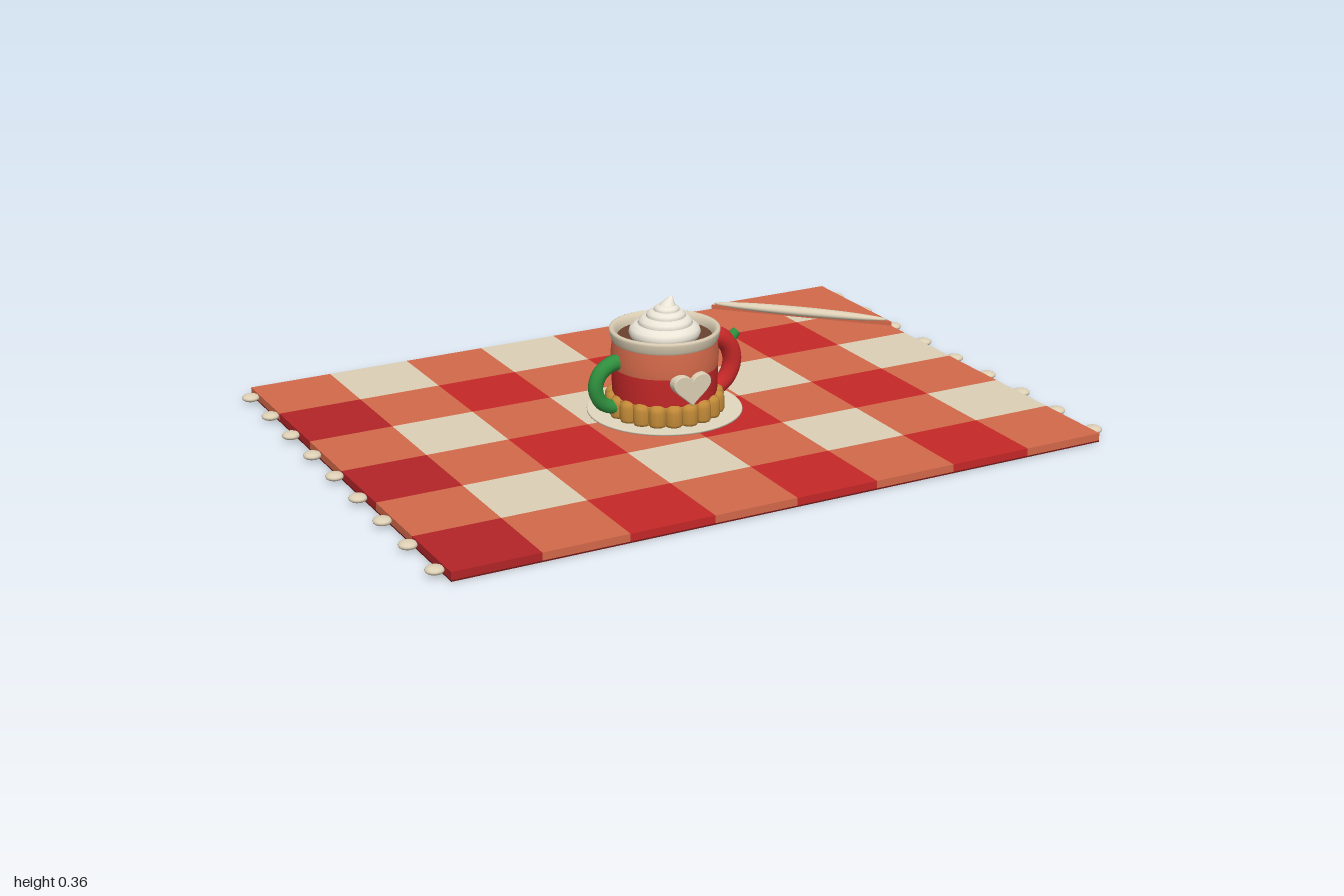
import * as THREE from 'three';

const mat = (c, o = {}) => new THREE.MeshStandardMaterial({ color: c, ...o });
const RED = mat(0xc62828), DEEP = mat(0xb22427), CORAL = mat(0xd3694a), CREAM = mat(0xdccfb5);
const BACK = mat(0x701818), CRUST = mat(0xc28a38), GREEN = mat(0x2f8f3e), COCOA = mat(0x6b4230);
const WHIP = mat(0xece6d8), SAUCER = mat(0xe2d8c0);

function add(parent, name, geo, material, x = 0, y = 0, z = 0) {
  const m = new THREE.Mesh(geo, material);
  m.name = name;
  m.position.set(x, y, z);
  parent.add(m);
  return m;
}

const lathe = (pts, seg = 40) =>
  new THREE.LatheGeometry(pts.map(p => new THREE.Vector2(p[0], p[1])), seg);

// Tube along a curve whose radius runs from r0 to r1
function taperedTube(points, r0, r1, seg = 28, sides = 12) {
  const curve = new THREE.CatmullRomCurve3(points.map(p => new THREE.Vector3(p[0], p[1], 0)));
  const geo = new THREE.TubeGeometry(curve, seg, 1, sides);
  const pos = geo.attributes.position, v = new THREE.Vector3();
  for (let i = 0; i < pos.count; i++) {
    const t = Math.floor(i / (sides + 1)) / seg;
    const c = curve.getPointAt(t);
    v.fromBufferAttribute(pos, i).sub(c).multiplyScalar(r0 + (r1 - r0) * t).add(c);
    pos.setXYZ(i, v.x, v.y, v.z);
  }
  return geo;
}

function makeBlanket() {
  const g = new THREE.Group();
  g.name = 'blanket';
  const W = 1.91, D = 1.43, cols = 8, rows = 6, w = W / cols, d = D / rows;
  add(g, 'backing', new THREE.BoxGeometry(W, 0.004, D), BACK, 0, 0.002, 0);
  // Gingham squares
  const tile = new THREE.BoxGeometry(w, 0.021, d);
  for (let r = 0; r < rows; r++) for (let c = 0; c < cols; c++) {
    const both = r % 2 === 1 && c % 2 === 0, none = r % 2 === 0 && c % 2 === 1;
    const m = both ? (c === 0 ? DEEP : RED) : none ? CREAM : CORAL;
    add(g, 'check', tile, m, -W / 2 + (c + 0.5) * w, 0.0145, -D / 2 + (r + 0.5) * d);
  }
  // Pompoms along both short edges
  const pom = new THREE.SphereGeometry(0.025, 14, 10).scale(1, 0.44, 1);
  for (const s of [-1, 1]) for (let i = -4; i <= 4; i++)
    add(g, 'pompom', pom, CREAM, s * 0.975, 0.015, i * 0.1655);
  // Folded corner: triangular flap and rolled crease
  const tri = new THREE.Shape([[0.55, 0.715], [0.955, 0.31], [0.955, 0.715]]
    .map(p => new THREE.Vector2(...p)));
  const flap = new THREE.ExtrudeGeometry(tri, { depth: 0.013, bevelEnabled: false });
  add(g, 'foldedCorner', flap.rotateX(-Math.PI / 2), CORAL, 0, 0.025, 0);
  const crease = add(g, 'foldCrease', new THREE.SphereGeometry(1, 28, 14), CREAM, 0.755, 0.041, -0.522);
  crease.scale.set(0.276, 0.014, 0.02);
  crease.rotation.y = -Math.PI / 4;
  return g;
}

function makeCup() {
  const g = new THREE.Group();
  g.name = 'cup';
  add(g, 'saucer', lathe([[0, 0.024], [0.18, 0.024], [0.217, 0.031], [0.215, 0.035],
    [0.195, 0.032], [0, 0.03]], 48), SAUCER);

  // Scalloped crust around the foot
  add(g, 'crustCore', new THREE.CylinderGeometry(0.15, 0.15, 0.054, 40), CRUST, 0, 0.058, 0);
  const rib = lathe([[0, 0], [0.022, 0], [0.025, 0.008], [0.025, 0.042], [0.02, 0.054],
    [0.01, 0.059], [0, 0.06]], 12);
  const ribs = 20;
  for (let i = 0; i < ribs; i++) {
    const a = i / ribs * Math.PI * 2;
    add(g, 'crustRib', rib, CRUST, Math.cos(a) * 0.142, 0.031, Math.sin(a) * 0.142);
  }

  // Banded body and flared rim
  add(g, 'lowerBand', lathe([[0.14, 0.06], [0.146, 0.09], [0.148, 0.165]]), RED);
  add(g, 'upperBand', lathe([[0.148, 0.165], [0.15, 0.195], [0.145, 0.238]]), CORAL);
  add(g, 'rim', lathe([[0.144, 0.234], [0.149, 0.242], [0.154, 0.262], [0.153, 0.269], [0.147, 0.271],
    [0.139, 0.266], [0.132, 0.25], [0.13, 0.22]]), CREAM);
  add(g, 'cocoa', new THREE.CylinderGeometry(0.132, 0.132, 0.01, 40), COCOA, 0, 0.24, 0);

  // Whipped cream in rounded tiers with a leaning tip
  [[0.066, 0.034, 0.258], [0.05, 0.026, 0.283], [0.034, 0.021, 0.303], [0.018, 0.018, 0.319]]
    .forEach(([R, r, y], i) => {
      const ring = new THREE.TorusGeometry(R, r, 12, 36).rotateX(Math.PI / 2).scale(1, 0.75, 1);
      add(g, 'creamTier', ring, WHIP, i * 0.002, y, 0);
    });
  const tip = lathe([[0.032, 0], [0.027, 0.014], [0.015, 0.03], [0.005, 0.042], [0, 0.044]], 20);
  const p = tip.attributes.position;
  for (let i = 0; i < p.count; i++) p.setX(i, p.getX(i) + 9 * p.getY(i) ** 2);
  tip.computeVertexNormals();
  add(g, 'creamTip', tip, WHIP, 0.004, 0.312, 0);

  // Heart on the front
  const h = new THREE.Shape();
  h.moveTo(0, -0.042);
  h.bezierCurveTo(-0.02, -0.02, -0.056, 0, -0.054, 0.02);
  h.bezierCurveTo(-0.052, 0.046, -0.012, 0.048, 0, 0.022);
  h.bezierCurveTo(0.012, 0.048, 0.052, 0.046, 0.054, 0.02);
  h.bezierCurveTo(0.056, 0, 0.02, -0.02, 0, -0.042);
  add(g, 'heart', new THREE.ExtrudeGeometry(h, { depth: 0.025, bevelEnabled: true, bevelSize: 0.003,
    bevelThickness: 0.003, bevelSegments: 2, curveSegments: 10 }), CREAM, 0, 0.136, 0.136);

  // Green handle on one side, pepper-shaped red handle with a stem on the other
  add(g, 'greenHandle', taperedTube([[-0.12, 0.19], [-0.165, 0.188], [-0.2, 0.165], [-0.214, 0.125],
    [-0.2, 0.085], [-0.17, 0.065], [-0.13, 0.06]], 0.023, 0.019), GREEN);
  add(g, 'redHandle', taperedTube([[0.125, 0.212], [0.165, 0.215], [0.2, 0.187], [0.214, 0.14],
    [0.2, 0.095], [0.17, 0.068], [0.13, 0.06]], 0.03, 0.023), RED);
  const stem = add(g, 'stem', new THREE.CylinderGeometry(0.013, 0.02, 0.04, 10), GREEN, 0.214, 0.208, 0);
  stem.rotation.z = -0.85;
  return g;
}

export function createModel() {
  const model = new THREE.Group();
  model.name = 'picnicBlanketWithCup';
  model.add(makeBlanket(), makeCup());
  return model;
}
